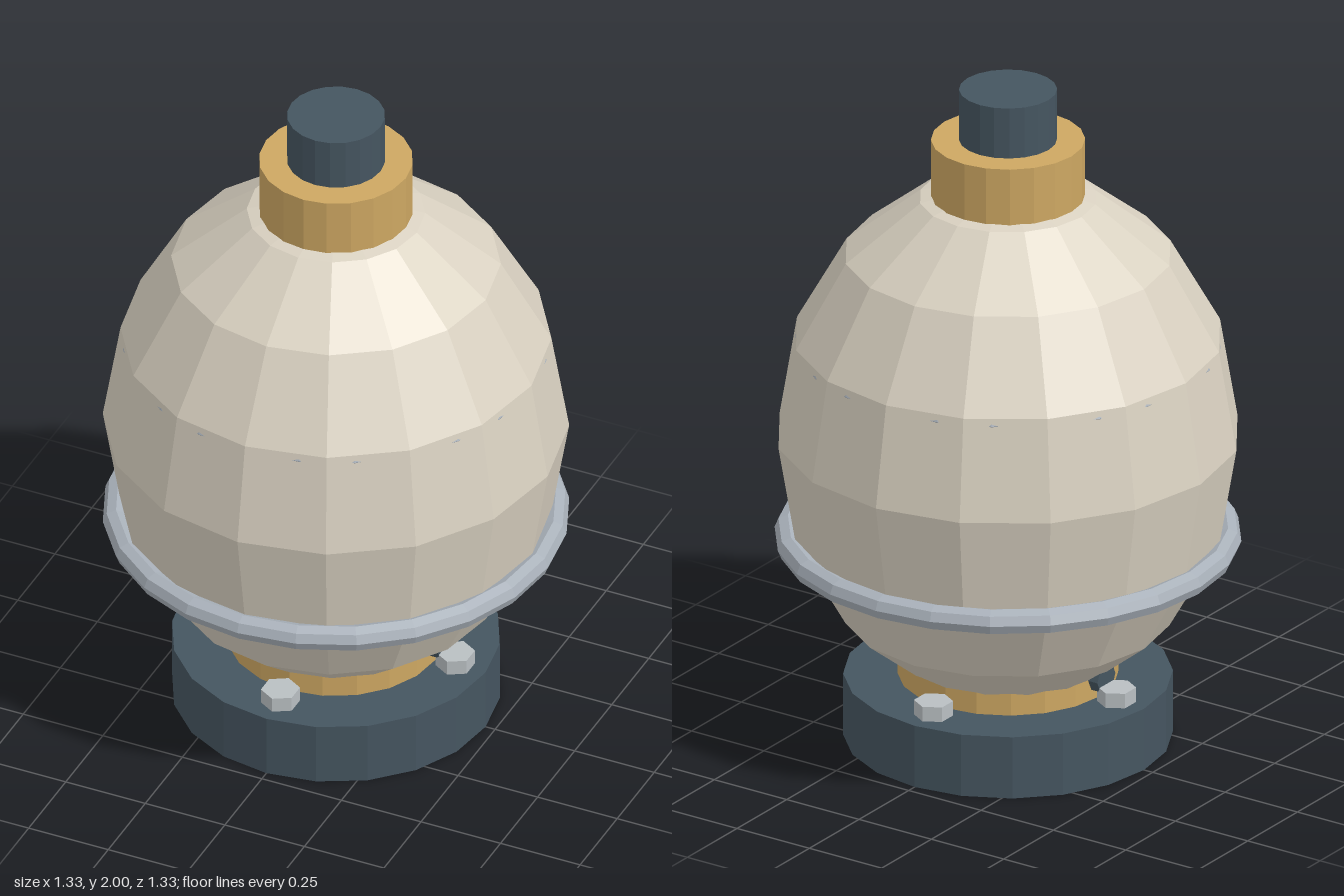
import * as THREE from 'three';

const mat = (name, color) => {
  const m = new THREE.MeshStandardMaterial({ color, flatShading: true });
  m.name = name;
  return m;
};

export function createModel() {
  const model = new THREE.Group();
  model.name = 'capsule';

  const cream = mat('cream shell', 0xd9d1c1);
  const brass = mat('brass', 0xcda762);
  const slate = mat('dark slate', 0x455560);
  const steel = mat('steel', 0xa9b1ba);
  const boltSteel = mat('pale bolt steel', 0xb9bfc2);

  const add = (name, geometry, material, x = 0, y = 0, z = 0) => {
    const mesh = new THREE.Mesh(geometry, material);
    mesh.name = name;
    mesh.position.set(x, y, z);
    model.add(mesh);
    return mesh;
  };

  // Upright cylinder given by its bottom and top heights
  const drum = (name, r, y0, y1, sides, material, x = 0, z = 0) =>
    add(name, new THREE.CylinderGeometry(r, r, y1 - y0, sides), material, x, (y0 + y1) / 2, z);

  // Base and lower collar
  drum('base', 0.47, 0, 0.19, 20, slate);
  drum('lowerCollar', 0.315, 0.19, 0.29, 20, brass);

  // Faceted egg-shaped shell
  const shell = new THREE.SphereGeometry(0.665, 16, 8);
  shell.scale(1, 0.79 / 0.665, 1);
  add('shell', shell, cream, 0, 0.935, 0);

  // Lower band stands proud; upper band only just breaks the surface
  const band = (name, radius, y) => {
    const g = new THREE.TorusGeometry(radius, 0.038, 8, 24);
    g.rotateX(Math.PI / 2);
    add(name, g, steel, 0, y, 0);
  };
  band('lowerBand', 0.629, 0.618);
  band('upperBand', 0.571, 1.215);

  // Neck and cap
  drum('neck', 0.22, 1.665, 1.845, 20, brass);
  drum('cap', 0.14, 1.845, 2, 20, slate);

  // Side ports just above the base
  for (const side of [-1, 1]) {
    const g = new THREE.CylinderGeometry(0.045, 0.045, 0.08, 8);
    g.rotateZ(Math.PI / 2);
    add(side > 0 ? 'leftPort' : 'rightPort', g, slate, side * 0.3, 0.253, 0);
  }

  // Four hexagonal bolts on the base rim
  for (let i = 0; i < 4; i++) {
    const a = (i * Math.PI) / 2;
    drum('bolt', 0.056, 0.19, 0.235, 6, boltSteel, Math.cos(a) * 0.375, Math.sin(a) * 0.375);
  }

  return model;
}
